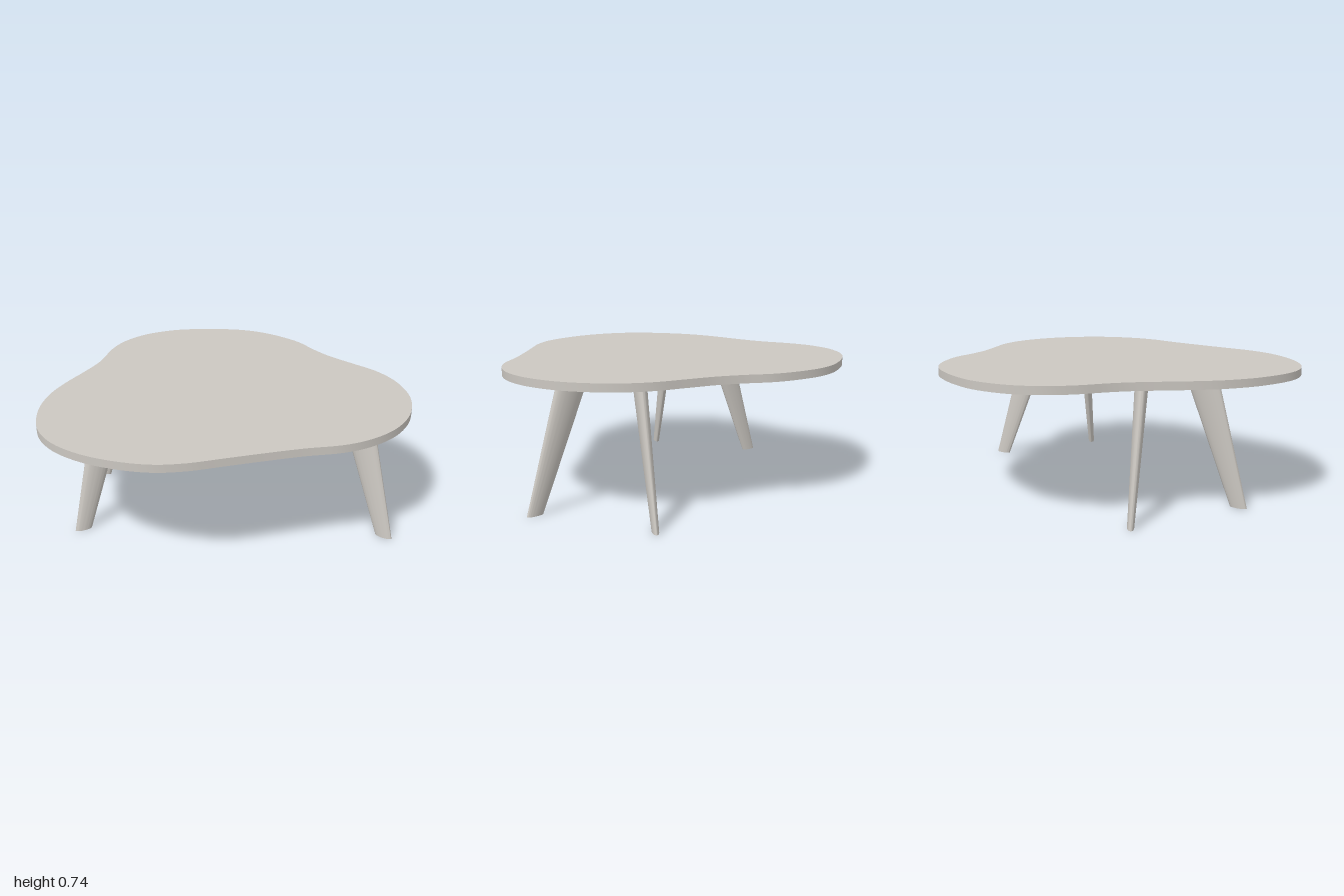
import * as THREE from 'three';
import { toCreasedNormals } from 'three/addons/utils/BufferGeometryUtils.js';

const TOP_Y = 0.735, UNDER_Y = 0.692;

// Outline of the free-form table top as [x, z], clockwise from the back
const OUTLINE = [
  [-0.11, -0.97], [0.05, -0.955], [0.2, -0.9], [0.4, -0.75], [0.51, -0.595], [0.6, -0.487],
  [0.73, -0.37], [0.86, -0.25], [0.955, -0.09], [1, 0.13], [0.965, 0.35], [0.87, 0.525],
  [0.74, 0.645], [0.6, 0.717], [0.4, 0.765], [0.2, 0.825], [0, 0.89], [-0.155, 0.94],
  [-0.315, 0.962], [-0.5, 0.936], [-0.69, 0.866], [-0.85, 0.75], [-0.95, 0.6], [-1, 0.36],
  [-0.985, 0.16], [-0.935, 0], [-0.867, -0.16], [-0.815, -0.294], [-0.79, -0.4],
  [-0.77, -0.54], [-0.715, -0.69], [-0.6, -0.83], [-0.42, -0.93], [-0.26, -0.963],
];

function tableTopGeometry() {
  const curve = new THREE.CatmullRomCurve3(
    OUTLINE.map(([x, z]) => new THREE.Vector3(x, -z, 0)), true, 'centripetal');
  const points = curve.getSpacedPoints(160).slice(0, -1).map(p => new THREE.Vector2(p.x, p.y));
  const geo = new THREE.ExtrudeGeometry(new THREE.Shape(points), {
    depth: TOP_Y - UNDER_Y, bevelEnabled: false,
  });
  geo.rotateX(-Math.PI / 2);
  geo.translate(0, UNDER_Y, 0);
  return toCreasedNormals(geo, 0.6);
}

// Splayed leg with a tapering elliptical section whose long axis points outward
function legGeometry(sx, sz) {
  const mix = THREE.MathUtils.lerp;
  const geo = new THREE.CylinderGeometry(1, 1, 1, 40, 1);
  const pos = geo.attributes.position;
  const c = Math.cos(0.51), s = Math.sin(0.51);
  for (let i = 0; i < pos.count; i++) {
    const t = pos.getY(i) + 0.5;
    const a = pos.getX(i) * mix(0.048, 0.094, t);
    const b = pos.getZ(i) * mix(0.018, 0.035, t);
    const cx = mix(0.035, 0.025, t) + sx * mix(0.8475, 0.675, t);
    const cz = mix(0.059, 0.065, t) + sz * mix(0.334, 0.186, t);
    pos.setXYZ(i, cx + sx * c * a - sz * s * b, t * UNDER_Y, cz + sz * s * a + sx * c * b);
  }
  return toCreasedNormals(geo, 0.8);
}

export function createModel() {
  const group = new THREE.Group();
  group.name = 'coffeeTable';
  const paint = new THREE.MeshStandardMaterial({ color: 0xcbc7c1 });
  paint.name = 'warm grey';

  const add = (name, geo) => {
    const mesh = new THREE.Mesh(geo, paint);
    mesh.name = name;
    group.add(mesh);
  };

  add('tableTop', tableTopGeometry());
  for (const sx of [1, -1]) {
    for (const sz of [1, -1]) {
      add((sz > 0 ? 'front' : 'back') + (sx > 0 ? 'Left' : 'Right') + 'Leg', legGeometry(sx, sz));
    }
  }
  return group;
}
